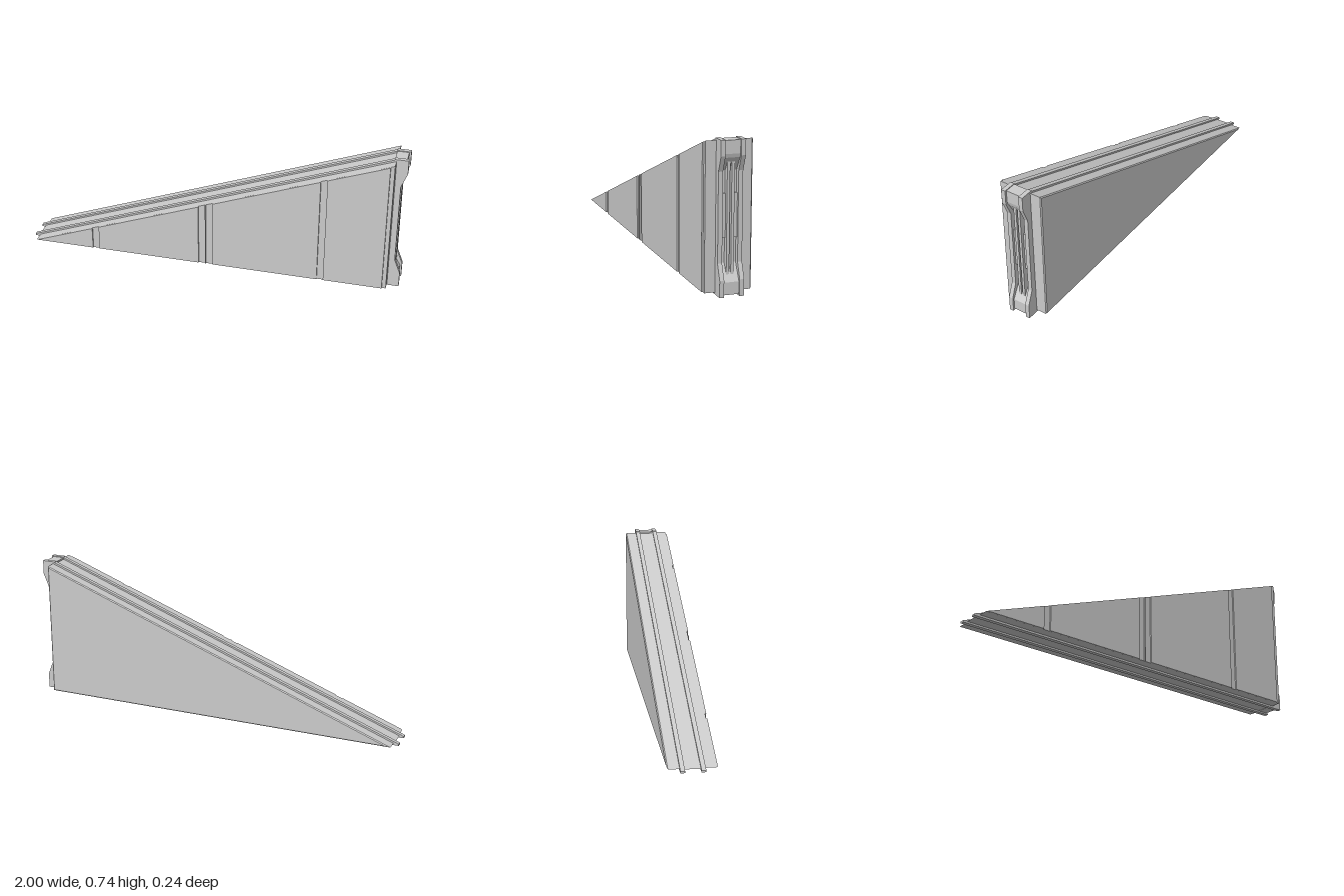
import * as THREE from 'three';

const material = new THREE.MeshStandardMaterial({ color: 0xcccccc, flatShading: true, side: THREE.DoubleSide });
const END = 0.94, TOP = 0.735, SLOPE = 0.374;

// Outline of the ramp pulled in by an inset, cut between two x positions
function wedge(inset, x0 = -1, x1 = END) {
  const roof = x => TOP - inset + SLOPE * (x - END);
  const tip = END + (2 * inset - TOP) / SLOPE;
  const a = Math.max(x0, tip, -1);
  return [[a, inset], [x1, inset], [x1, roof(x1)], [a, roof(a)]];
}

// Solid through layers [z, outline], listed from low z to high z
function loft(layers) {
  const pos = [];
  const rings = layers.map(([z, pts]) => pts.map(([x, y]) => [x, y, z]));
  const quad = (a, b, c, d) => pos.push(...a, ...b, ...c, ...a, ...c, ...d);
  for (let i = 0; i + 1 < rings.length; i++) {
    const lo = rings[i], hi = rings[i + 1];
    for (let j = 0; j < 4; j++) {
      const k = (j + 1) % 4;
      quad(lo[j], lo[k], hi[k], hi[j]);
    }
  }
  const first = rings[0], last = rings[rings.length - 1];
  quad(first[3], first[2], first[1], first[0]);
  quad(...last);
  const geo = new THREE.BufferGeometry();
  geo.setAttribute('position', new THREE.Float32BufferAttribute(pos, 3));
  geo.computeVertexNormals();
  return geo;
}

// Side profile swept across z
function plate(points, z0, z1) {
  const shape = new THREE.Shape(points.map(p => new THREE.Vector2(...p)));
  return new THREE.ExtrudeGeometry(shape, { depth: z1 - z0, bevelEnabled: false }).translate(0, 0, z0);
}

export function createModel() {
  const group = new THREE.Group();
  const add = (name, geo) => {
    const mesh = new THREE.Mesh(geo, material);
    mesh.name = name;
    group.add(mesh);
    return mesh;
  };
  const box = (name, x0, x1, y0, y1, z0, z1) =>
    add(name, new THREE.BoxGeometry(x1 - x0, y1 - y0, z1 - z0))
      .position.set((x0 + x1) / 2, (y0 + y1) / 2, (z0 + z1) / 2);

  // Recessed core between two protruding rails
  add('core', loft([[-0.045, wedge(0.009)], [0.045, wedge(0.009)]]));
  for (const s of [-1, 1]) {
    const z = s * 0.049;
    add('edgeRail', loft([[z - 0.011, wedge(0)], [z + 0.011, wedge(0)]]));
  }

  // Back panel with a chamfered outer rim
  add('backPanel', loft([
    [-0.119, wedge(0.015, -1, END - 0.005)],
    [-0.114, wedge(0.01)],
    [-0.055, wedge(0.01)],
  ]));

  // Front panel: a base sheet with raised boards, leaving shallow grooves
  add('frontPanelBase', loft([[0.055, wedge(0.01)], [0.112, wedge(0.01)]]));
  const boards = [[-1, -0.645], [-0.61, -0.055], [-0.021, -0.015], [0.02, 0.58], [0.612, 0.92]];
  for (const [x0, x1] of boards) {
    add('frontBoard', loft([[0.111, wedge(0.01, x0, x1)], [0.119, wedge(0.011, x0 + 0.001, x1 - 0.001)]]));
  }

  // End frame: two side cheeks with a cut-back middle
  const cheek = [[0.93, 0], [1, 0], [1, 0.08], [0.97, 0.155], [0.97, 0.585], [1, 0.66], [1, TOP], [0.93, TOP]];
  add('endCheekFront', plate(cheek, 0.038, 0.06));
  add('endCheekBack', plate(cheek, -0.06, -0.038));

  // Pocket floor with sloping blocks above and below
  add('endPocket', plate([
    [0.93, 0.008], [0.99, 0.008], [0.99, 0.068], [0.945, 0.15],
    [0.945, 0.585], [0.985, 0.65], [0.99, 0.668], [0.99, 0.731], [0.93, 0.731],
  ], -0.039, 0.039));

  // Twin bars and side pads inside the pocket
  for (const s of [-1, 1]) {
    const z = s * 0.011;
    box('pocketBar', 0.94, 0.972, 0.1, 0.638, z - 0.007, z + 0.007);
    const p = s * 0.029;
    box('pocketPad', 0.94, 0.957, 0.27, 0.48, p - 0.01, p + 0.01);
  }

  return group;
}
